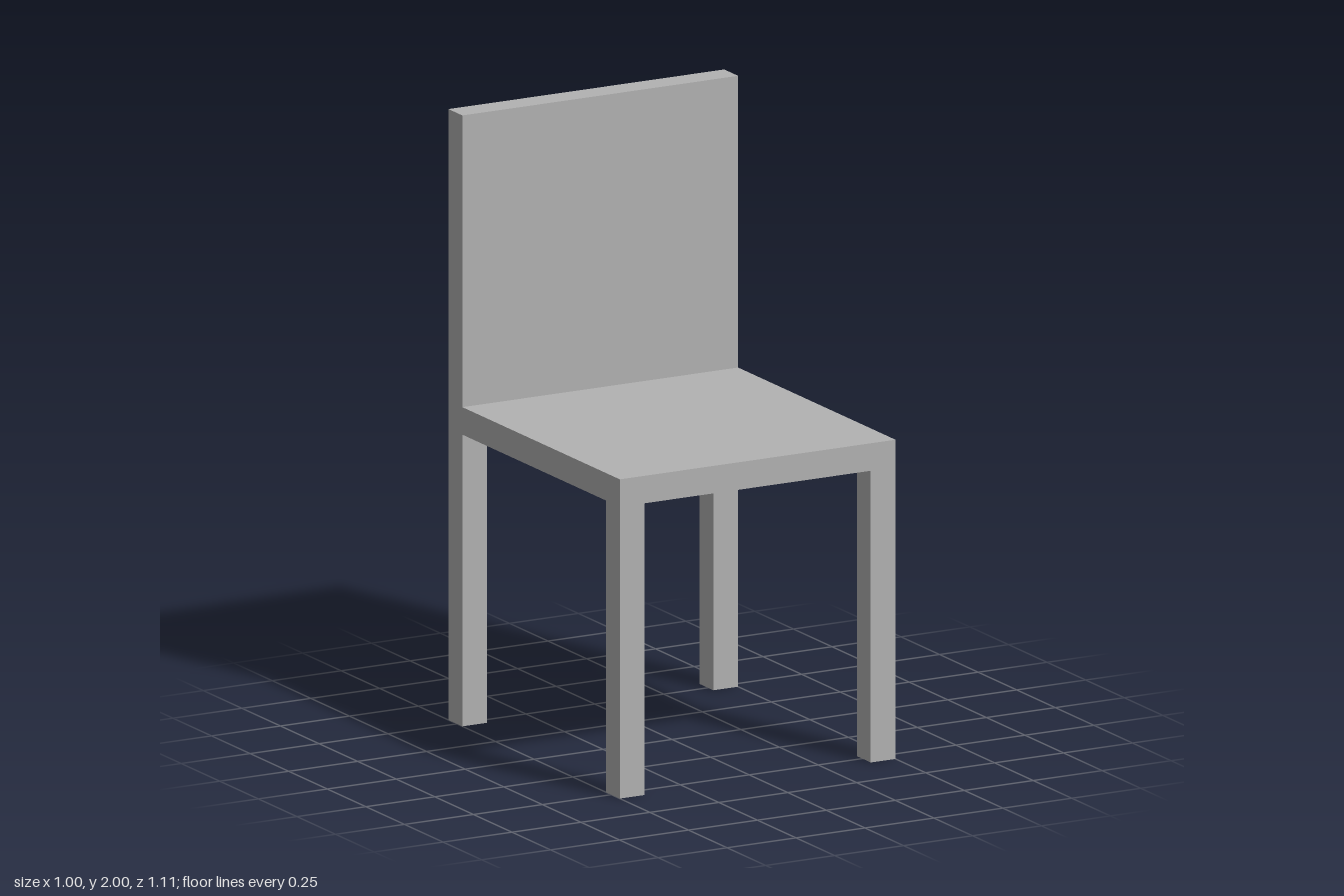
import * as THREE from 'three';

const WIDTH = 1, DEPTH = 1.11, HEIGHT = 2;
const THICK = 0.09;      // shared by the legs, seat and backrest
const SEAT_BOTTOM = 0.955;

export function createModel() {
  const chair = new THREE.Group();
  chair.name = 'chair';
  const grey = new THREE.MeshStandardMaterial({ color: 0xb2b2b2 });
  grey.name = 'grey';

  // Box placed by the centre of its base
  function addBox(name, w, h, d, x, y, z) {
    const mesh = new THREE.Mesh(new THREE.BoxGeometry(w, h, d), grey);
    mesh.name = name;
    mesh.position.set(x, y + h / 2, z);
    chair.add(mesh);
  }

  // Seat meets the front of the backrest
  addBox('seat', WIDTH, THICK, DEPTH - THICK, 0, SEAT_BOTTOM, THICK / 2);

  // Backrest rises from the underside of the seat, directly over the back legs
  addBox('backrest', WIDTH, HEIGHT - SEAT_BOTTOM, THICK, 0, SEAT_BOTTOM, (THICK - DEPTH) / 2);

  // Four square legs, flush with the corners
  for (const [side, sx] of [['Left', 1], ['Right', -1]]) {
    for (const [end, sz] of [['front', 1], ['back', -1]]) {
      addBox(`${end}${side}Leg`, THICK, SEAT_BOTTOM, THICK,
        sx * (WIDTH - THICK) / 2, 0, sz * (DEPTH - THICK) / 2);
    }
  }

  return chair;
}
